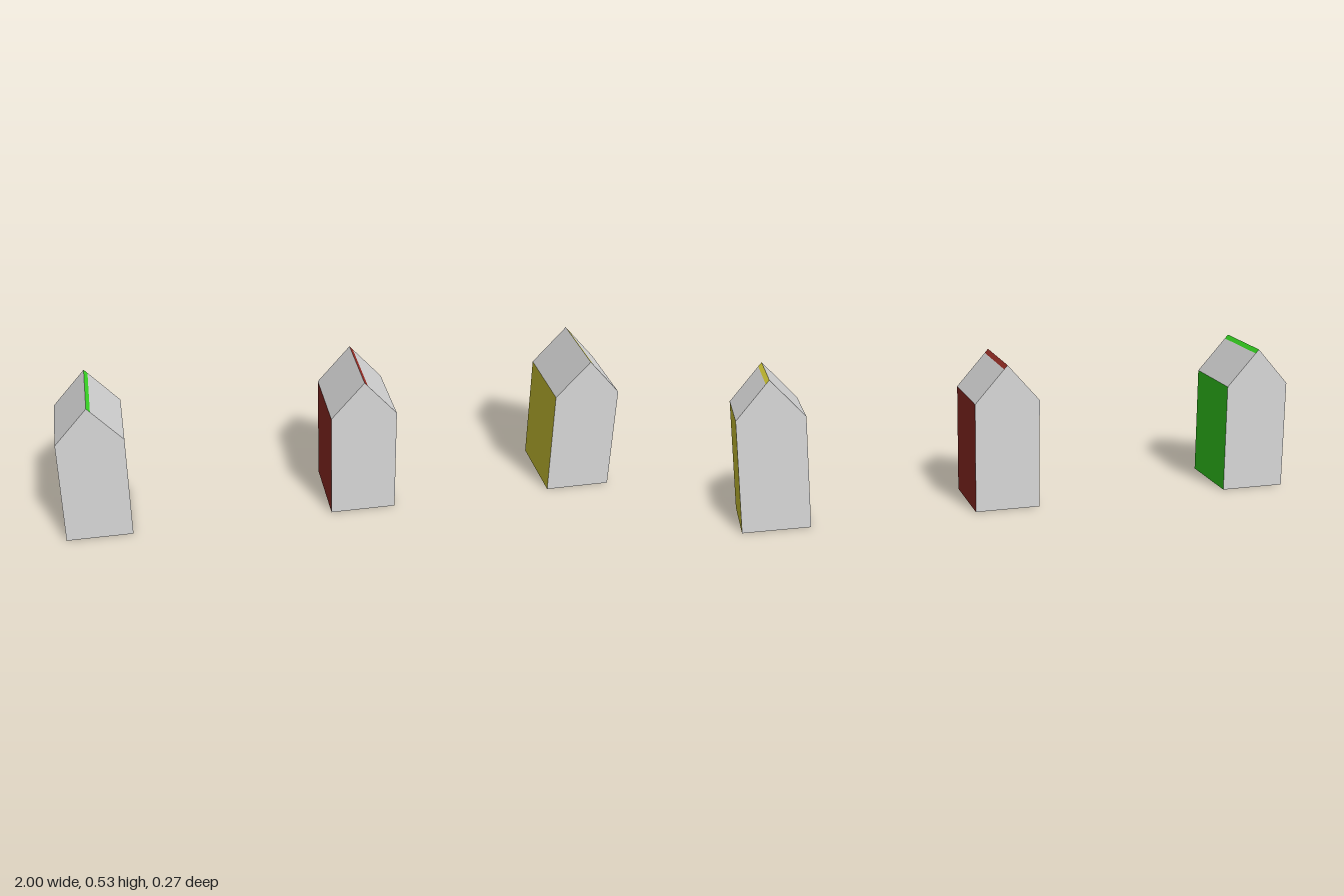
import * as THREE from 'three';

const HALF_W = 0.117, HALF_D = 0.137, WALL_H = 0.394, RIDGE_H = 0.527, TRIM_H = 0.513;
const TRIM_X = HALF_W * (RIDGE_H - TRIM_H) / (RIDGE_H - WALL_H);

// House outline, counter-clockwise from the front
const OUTLINE = [
  [-HALF_W, 0], [HALF_W, 0], [HALF_W, WALL_H],
  [TRIM_X, TRIM_H], [0, RIDGE_H], [-HALF_W, WALL_H],
];

// Flat panel running front to back along one outline edge
function panel(name, edge, material) {
  const [ax, ay] = OUTLINE[edge];
  const [bx, by] = OUTLINE[(edge + 1) % OUTLINE.length];
  const geo = new THREE.BufferGeometry();
  geo.setAttribute('position', new THREE.Float32BufferAttribute([
    ax, ay, HALF_D, ax, ay, -HALF_D, bx, by, -HALF_D, bx, by, HALF_D,
  ], 3));
  geo.setIndex([0, 1, 2, 0, 2, 3]);
  geo.computeVertexNormals();
  const mesh = new THREE.Mesh(geo, material);
  mesh.name = name;
  return mesh;
}

// Pentagonal end wall
function gable(name, back, material) {
  const shape = new THREE.Shape(OUTLINE.map(([x, y]) => new THREE.Vector2(x, y)));
  const mesh = new THREE.Mesh(new THREE.ShapeGeometry(shape), material);
  mesh.name = name;
  if (back) {
    mesh.geometry.scale(-1, 1, 1);
    mesh.geometry.dispose();
    // Mirrored outline keeps the narrow ridge point in place when turned round
    const flipped = OUTLINE.map(([x, y]) => new THREE.Vector2(-x, y)).reverse();
    mesh.geometry = new THREE.ShapeGeometry(new THREE.Shape(flipped));
    mesh.rotation.y = Math.PI;
  }
  mesh.position.z = back ? -HALF_D : HALF_D;
  return mesh;
}

function house(name, x, grey, paint) {
  const group = new THREE.Group();
  group.name = name;
  group.add(
    gable('frontWall', false, grey),
    gable('backWall', true, grey),
    panel('floor', 0, grey),
    panel('leftWall', 1, paint),
    panel('leftRoof', 2, grey),
    panel('ridgeStrip', 3, paint),
    panel('rightRoof', 4, grey),
    panel('rightWall', 5, paint),
  );
  group.position.x = x;
  return group;
}

export function createModel() {
  const material = (name, color) => {
    const m = new THREE.MeshStandardMaterial({ color });
    m.name = name;
    return m;
  };
  const grey = material('lightGrey', 0xdadada);

  // Row of three matching houses with differently painted sides
  const model = new THREE.Group();
  model.name = 'houses';
  model.add(
    house('greenHouse', -0.883, grey, material('green', 0x3adf24)),
    house('redHouse', 0.066, grey, material('red', 0x9c2f27)),
    house('yellowHouse', 0.883, grey, material('yellow', 0xdfd53a)),
  );
  return model;
}
